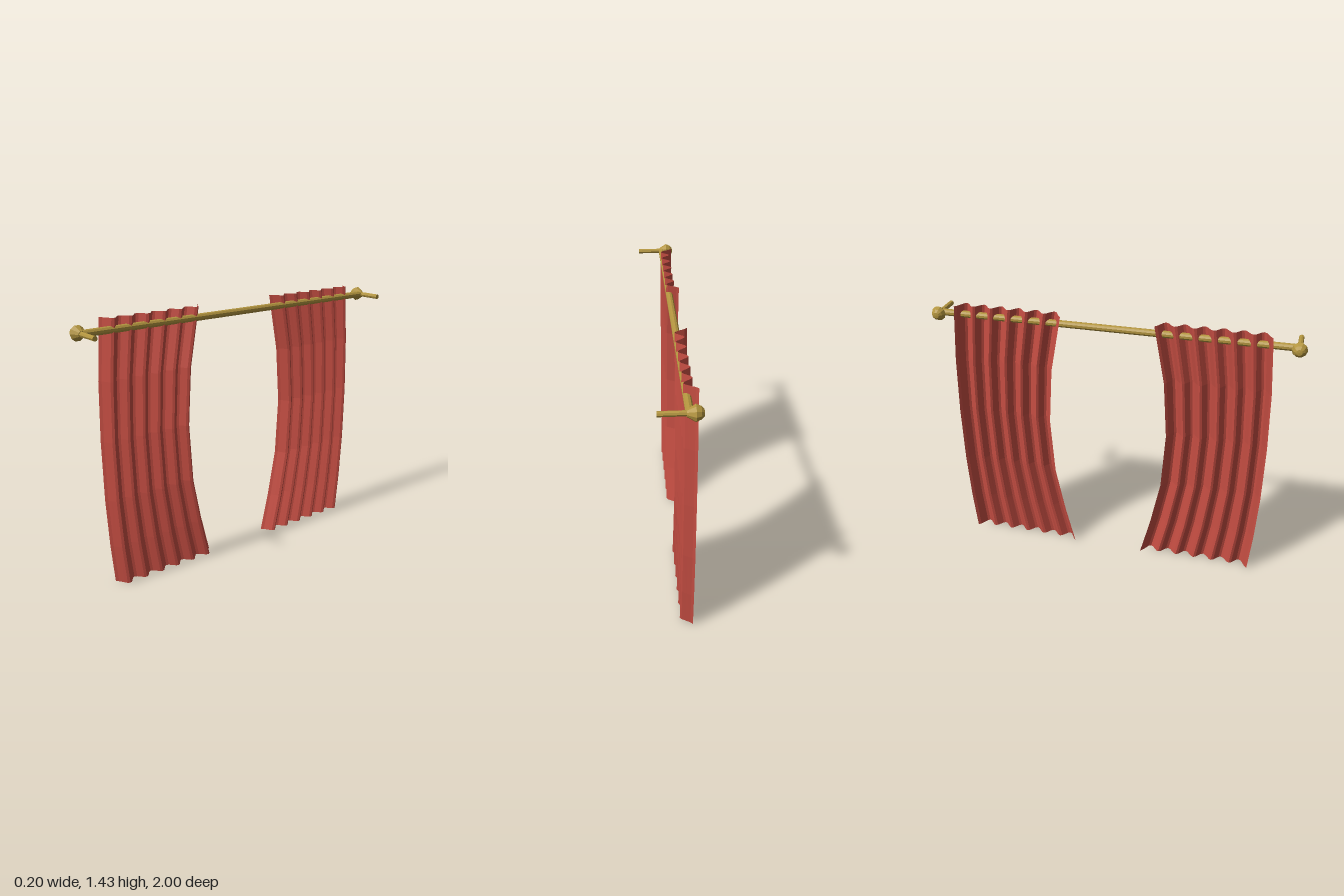
import * as THREE from 'three';

const ROD_Y = 1.372;

// Height, inner edge and outer edge of a hanging panel, from hem to top
const ROWS = [
  [0, 0.187, 0.814], [0.215, 0.241, 0.835], [0.48, 0.295, 0.851],
  [0.8, 0.316, 0.857], [1.115, 0.295, 0.851], [1.43, 0.236, 0.83],
];
const FOLDS = 6, STEPS = 8;

// Depth of the cloth across its folds; the two free edges fall further back
function foldDepth(i) {
  const last = FOLDS * STEPS;
  const wave = -0.0475 - 0.0225 * Math.cos((i / STEPS) * Math.PI * 2);
  const edge = Math.max(0, 1 - Math.min(i, last - i) / (STEPS * 0.4));
  return wave - 0.02 * edge;
}

// Pleated sheet, swept through the rows
function curtain(material, toZ) {
  const n = FOLDS * STEPS, pos = [], index = [];
  for (const [y, inner, outer] of ROWS) {
    for (let i = 0; i <= n; i++) {
      pos.push(foldDepth(i), y, toZ(inner + (outer - inner) * (i / n)));
    }
  }
  for (let r = 0; r < ROWS.length - 1; r++) {
    for (let i = 0; i < n; i++) {
      const a = r * (n + 1) + i, b = a + 1, c = a + n + 1, d = c + 1;
      index.push(a, c, b, b, c, d);
    }
  }
  const geo = new THREE.BufferGeometry();
  geo.setAttribute('position', new THREE.Float32BufferAttribute(pos, 3));
  geo.setIndex(index);
  geo.computeVertexNormals();
  return new THREE.Mesh(geo, material);
}

export function createModel() {
  const group = new THREE.Group();
  const cloth = new THREE.MeshStandardMaterial({ color: 0xc44d42, side: THREE.DoubleSide, flatShading: true });
  cloth.name = 'red cloth';
  const brass = new THREE.MeshStandardMaterial({ color: 0xb3953f, flatShading: true });
  brass.name = 'brass';

  const add = (mesh, name) => {
    mesh.name = name;
    group.add(mesh);
    return mesh;
  };

  // Curtains, the second one mirrored and slightly shifted
  add(curtain(cloth, z => z), 'leftCurtain');
  add(curtain(cloth, z => -z - 0.026), 'rightCurtain');

  // Rod
  const rod = add(new THREE.Mesh(new THREE.CylinderGeometry(0.019, 0.019, 1.91, 10), brass), 'rod');
  rod.rotation.x = Math.PI / 2;
  rod.position.set(-0.041, ROD_Y, 0);

  // Finials and wall brackets at both ends
  const profile = [[0, -0.105], [0.016, -0.103], [0.03, -0.09], [0.04, -0.067], [0.016, -0.027], [0, -0.027]]
    .map(([r, h]) => new THREE.Vector2(r, h));
  const finialGeo = new THREE.LatheGeometry(profile, 10).rotateZ(-Math.PI / 2);
  const bracketGeo = new THREE.CylinderGeometry(0.0135, 0.0135, 0.14, 8).rotateZ(Math.PI / 2).translate(0.029, 0, 0);
  for (const s of [1, -1]) {
    const side = s > 0 ? 'left' : 'right';
    add(new THREE.Mesh(finialGeo, brass), side + 'Finial').position.set(0, ROD_Y, s * 0.96);
    add(new THREE.Mesh(bracketGeo, brass), side + 'Bracket').position.set(0, ROD_Y, s * 0.96);
  }
  return group;
}
